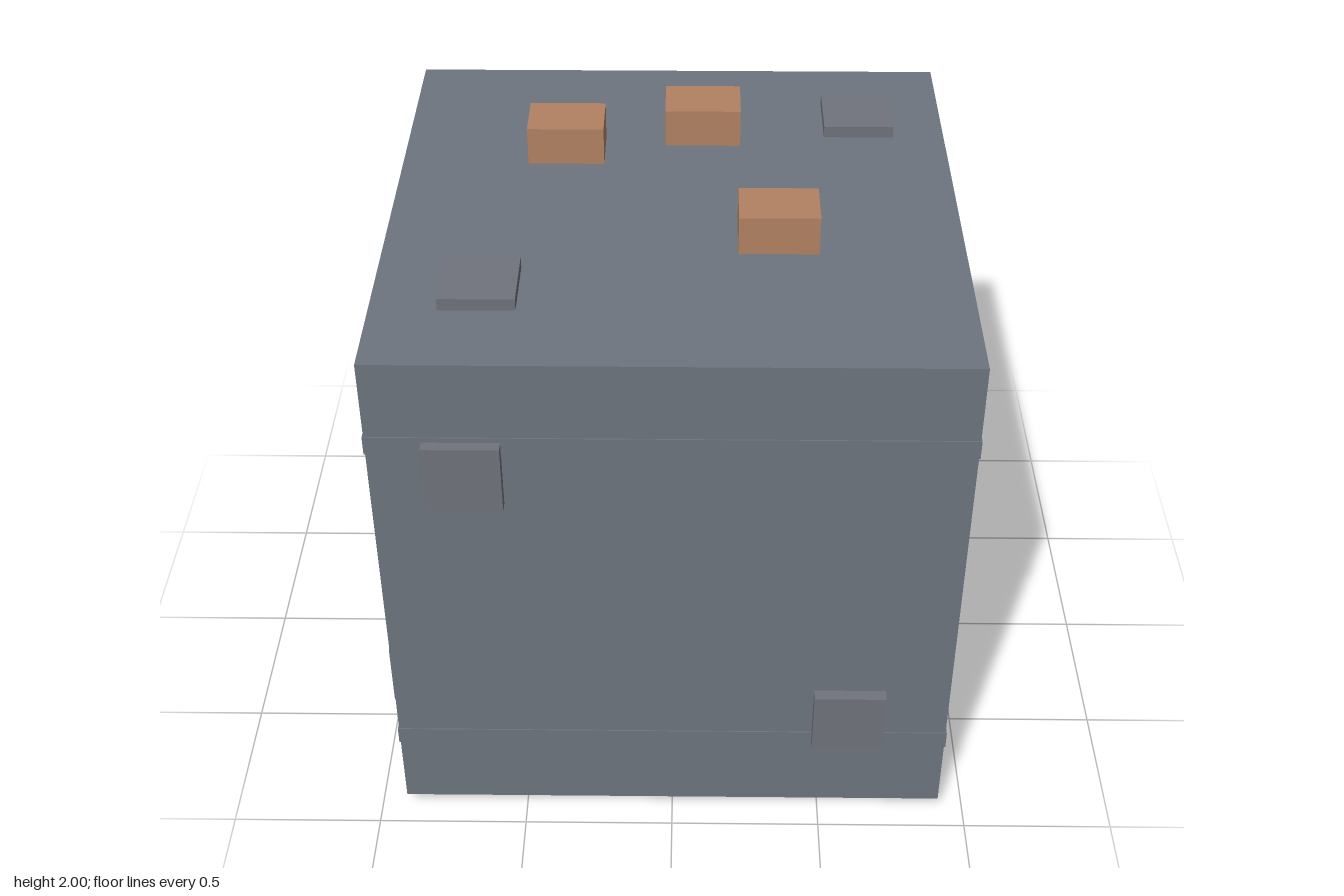
import * as THREE from 'three';

const steel = new THREE.MeshStandardMaterial({ name: 'steelGrey', color: 0x6e757f });
const plateGrey = new THREE.MeshStandardMaterial({ name: 'plateGrey', color: 0x70737d });
const copper = new THREE.MeshStandardMaterial({ name: 'copperBrown', color: 0xb28262 });

const HALF = 0.915, MID = 0.955; // half side of the cube and height of its centre
const THICK = 0.04, PLATE = 0.236;

export function createModel() {
  const model = new THREE.Group();
  model.name = 'crate';

  const box = (name, material, size, position) => {
    const mesh = new THREE.Mesh(new THREE.BoxGeometry(...size), material);
    mesh.name = name;
    mesh.position.set(...position);
    model.add(mesh);
  };

  // Main cube
  box('body', steel, [2 * HALF, 2 * HALF, 2 * HALF], [0, MID, 0]);

  // Thin bands wrapped around the sides
  for (const y of [MID - 0.62, MID + 0.62]) {
    box('band', steel, [2 * HALF + 0.008, 0.064, 2 * HALF + 0.008], [0, y, 0]);
  }

  // Square plates, two on every face: [axis, side, centre]
  const plates = [
    ['z', 1, [-0.627, 1.472, 0]], ['z', 1, [0.585, 0.443, 0]],
    ['z', -1, [0.658, 1.508, 0]], ['z', -1, [-0.733, 0.332, 0]],
    ['x', 1, [0, 1.472, 0.588]], ['x', 1, [0, 0.407, -0.624]],
    ['x', -1, [0, 1.525, -0.553]], ['x', -1, [0, 0.443, 0.622]],
    ['y', 1, [0.623, 0, -0.55]], ['y', 1, [-0.589, 0, 0.515]],
    ['y', -1, [0.585, 0, -0.51]], ['y', -1, [-0.627, 0, 0.572]],
  ];
  for (const [axis, side, centre] of plates) {
    const i = 'xyz'.indexOf(axis);
    const size = [PLATE, PLATE, PLATE];
    size[i] = THICK;
    centre[i] = side * (HALF + THICK / 2) + (axis === 'y' ? MID : 0);
    box('plate', plateGrey, size, centre);
  }

  // Raised blocks on top
  for (const [x, z] of [[-0.367, -0.333], [0.09, -0.46], [0.328, 0.22]]) {
    box('topBlock', copper, [0.254, 0.13, 0.182], [x, 1.935, z]);
  }

  return model;
}
